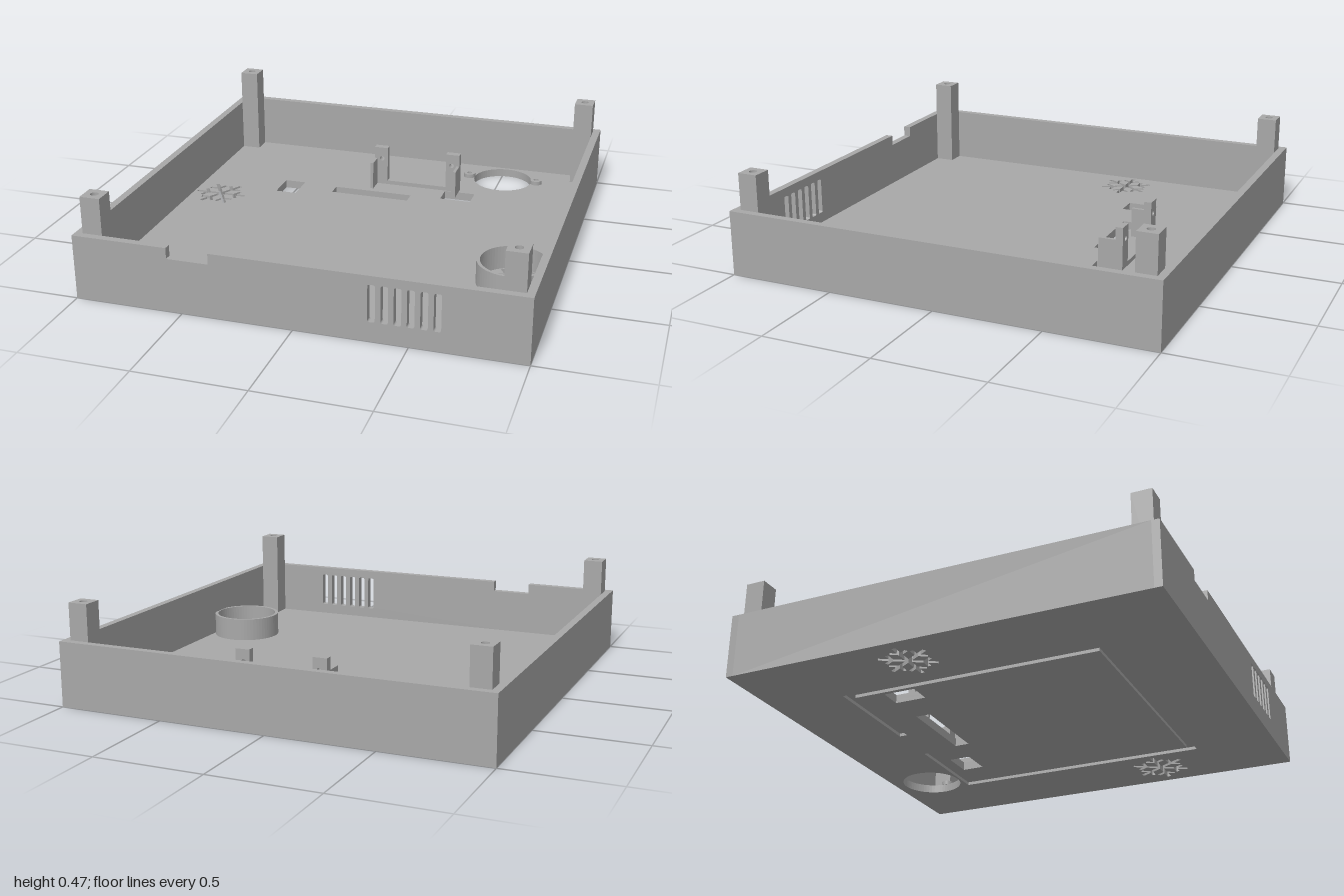
import * as THREE from 'three';

const H = 0.3, T = 0.035, IN = 1 - T, FLOOR = 0.04, GROOVE = 0.015;

// Closed path from [x, y] points
const poly = (pts, Type = THREE.Path) => new Type(pts.map(([x, y]) => new THREE.Vector2(x, y)));
const rect = (x0, x1, y0, y1, Type) => poly([[x0, y0], [x1, y0], [x1, y1], [x0, y1]], Type);
const circle = (x, y, r, Type = THREE.Path) => new Type().absarc(x, y, r, 0, Math.PI * 2, false);

// Slot with small rounded corners
function roundedSlot(x0, x1, y0, y1, r) {
  const p = new THREE.Path();
  p.absarc(x1 - r, y0 + r, r, -Math.PI / 2, 0, false);
  p.absarc(x1 - r, y1 - r, r, 0, Math.PI / 2, false);
  p.absarc(x0 + r, y1 - r, r, Math.PI / 2, Math.PI, false);
  p.absarc(x0 + r, y0 + r, r, Math.PI, Math.PI * 1.5, false);
  p.closePath();
  return p;
}

// Six-armed snow crystal outline, each arm with one pair of branches
function crystal(cx, cy, size) {
  const w = 0.01, b = 0.07, l = 0.044, h = 0.009, s = Math.sin(Math.PI / 3);
  const tip = [b + l * 0.5, w + l * s];
  const half = [
    [b, w], tip, [tip[0] + 2 * h * s, tip[1] - h], [b + 2 * h / s, w], [0.14, w],
  ];
  const arm = [[2 * w * s, -w], ...half.map(([x, y]) => [x, -y]), ...half.slice().reverse()];
  const pts = [];
  for (let i = 0; i < 6; i++) {
    const c = Math.cos(i * Math.PI / 3) * size, d = Math.sin(i * Math.PI / 3) * size;
    for (const [x, y] of arm) pts.push([cx + x * c - y * d, cy + x * d + y * c]);
  }
  return poly(pts);
}

export function createModel() {
  const model = new THREE.Group();
  model.name = 'enclosureTray';
  const grey = new THREE.MeshStandardMaterial({ color: 0xa8a8a8 });
  grey.name = 'plain grey';

  const add = (name, geometry) => {
    const mesh = new THREE.Mesh(geometry, grey);
    mesh.name = name;
    model.add(mesh);
    return mesh;
  };
  const extrude = (shape, depth) =>
    new THREE.ExtrudeGeometry(shape, { depth, bevelEnabled: false, curveSegments: 32 });
  // Horizontal slab: the shape's y is -z
  const slab = (name, shape, y0, y1) =>
    add(name, extrude(shape, y1 - y0).rotateX(-Math.PI / 2).translate(0, y0, 0));
  const box = (name, x0, x1, y0, y1, z0, z1) =>
    add(name, new THREE.BoxGeometry(x1 - x0, y1 - y0, z1 - z0)
      .translate((x0 + x1) / 2, (y0 + y1) / 2, (z0 + z1) / 2));

  // Floor in two layers, the lower one cut by a wire groove
  const floorShape = () => {
    const s = rect(-IN, IN, -IN, IN, THREE.Shape);
    s.holes.push(
      circle(0.53, 0.8, 0.15),
      rect(-0.56, -0.455, 0.31, 0.46),
      rect(-0.28, 0.12, 0.38, 0.45),
      rect(0.275, 0.43, 0.455, 0.56),
      crystal(-0.82, 0.195, 0.92),
      crystal(0.81, -0.375, 1),
    );
    return s;
  };
  const lower = floorShape();
  lower.holes.push(poly([
    [0.15, 0.64], [0.64, 0.64], [0.64, -0.62], [-0.62, -0.62], [-0.62, 0.64], [-0.1, 0.64],
    [-0.1, 0.6], [-0.58, 0.6], [-0.58, -0.58], [0.6, -0.58], [0.6, 0.6], [0.15, 0.6],
  ]));
  slab('groovedFloor', lower, 0, GROOVE);
  slab('floor', floorShape(), GROOVE, FLOOR);

  // Front wall with cable notch and vent slots
  const front = poly([
    [-1, 0], [1, 0], [1, H], [-0.37, H], [-0.37, 0.25], [-0.56, 0.25], [-0.56, H], [-1, H],
  ], THREE.Shape);
  for (let i = 0; i < 6; i++) {
    const x = 0.325 + i * 0.0555;
    front.holes.push(roundedSlot(x, x + 0.032, 0.09, 0.26, 0.008));
  }
  add('frontWall', extrude(front, T).translate(0, 0, IN));

  // Plain walls
  box('backWall', -1, 1, 0, H, -1, -IN);
  box('leftWall', IN, 1, 0, H, -IN, IN);
  box('rightWall', -1, -IN, 0, H, -IN, IN);

  // Corner posts with screw holes
  for (const sx of [-1, 1]) for (const sz of [-1, 1]) {
    const post = rect(-0.046, 0.046, -0.046, 0.046, THREE.Shape);
    post.holes.push(circle(0, 0, 0.018));
    slab('cornerPost', post, FLOOR, 0.47).position.set(sx * 0.919, 0, sz * 0.919);
  }

  // Round collar and the two small screw bosses
  const ring = (name, x, z, outer, inner, top) => {
    const s = circle(x, -z, outer, THREE.Shape);
    s.holes.push(circle(x, -z, inner));
    slab(name, s, FLOOR, top);
  };
  ring('collar', 0.81, 0.38, 0.165, 0.15, 0.15);
  for (const x of [0.352, 0.706]) ring('screwBoss', x, -0.8, 0.03, 0.013, 0.06);

  // Bracket: two drilled tabs joined by a low rail, each with a side wing
  const bracket = poly([
    [-0.105, FLOOR], [0.345, FLOOR], [0.345, 0.24], [0.275, 0.24], [0.275, 0.06],
    [-0.035, 0.06], [-0.035, 0.24], [-0.105, 0.24],
  ], THREE.Shape);
  for (const x of [-0.065, 0.305]) bracket.holes.push(circle(x, 0.18, 0.012));
  add('bracket', extrude(bracket, 0.035).translate(0, 0, -0.6));
  box('bracketWing', -0.105, -0.09, FLOOR, 0.18, -0.565, -0.485);
  box('bracketWing', 0.33, 0.345, FLOOR, 0.18, -0.565, -0.485);

  return model;
}
